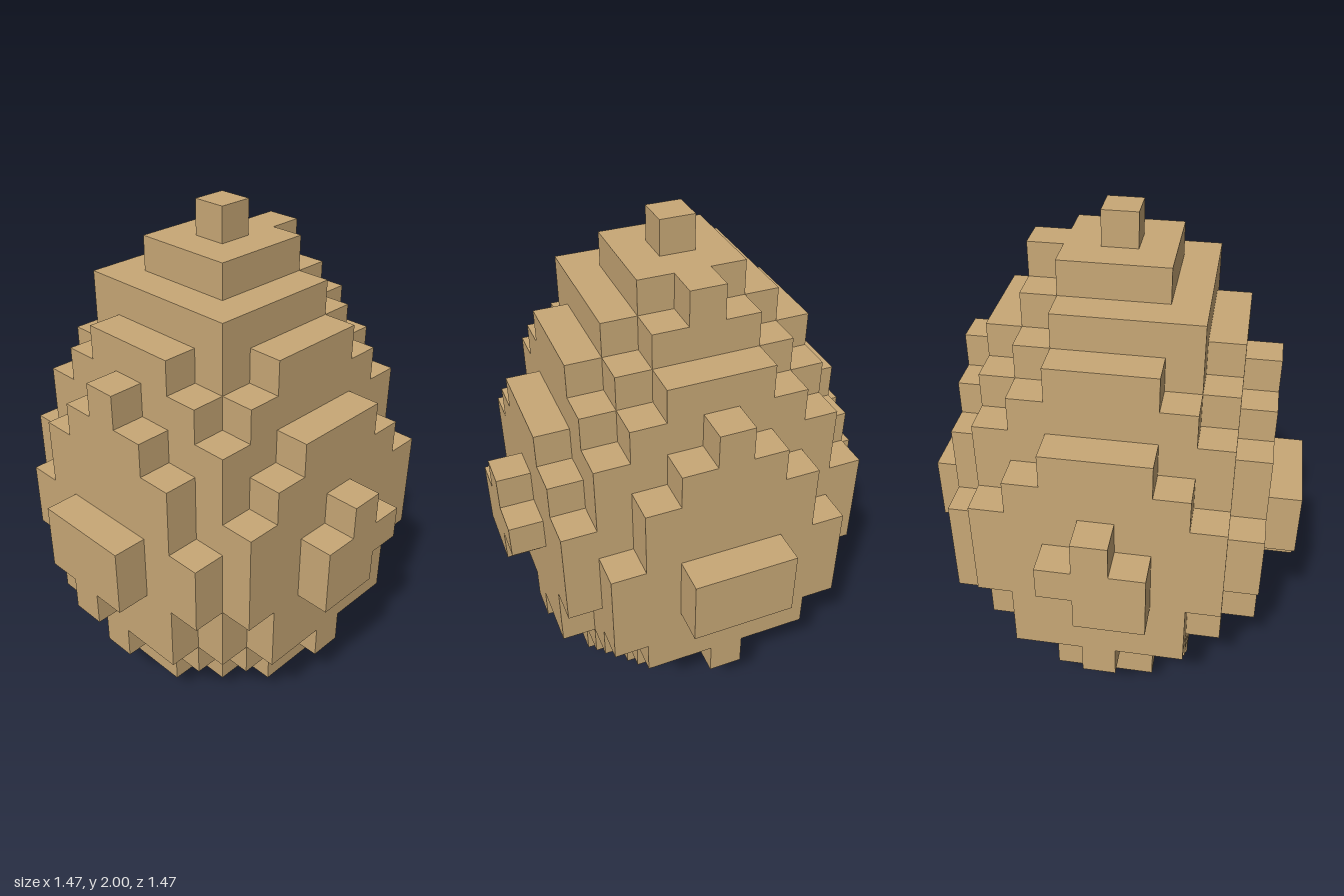
import * as THREE from 'three';
import { mergeGeometries } from 'three/addons/utils/BufferGeometryUtils.js';

const CELL = 2 / 15; // edge of one cube

// Layers from the base up: squared radius in cubes, cubes left out, cubes added
const LAYERS = [
  { name: 'bottomNub', r2: 0 },
  { name: 'base', r2: 10, drop: x => x === 3 },
  { name: 'lowerShell', r2: 16 },
  { name: 'lowerShell', r2: 20 },
  { name: 'lowerShell', r2: 20, add: (x, z) => (x === 4 && Math.abs(z) === 3) || (x === -5 && z === 0) },
  { name: 'belly', r2: 26, drop: (x, z) => x === 1 && Math.abs(z) === 5 },
  { name: 'belly', r2: 26 },
  { name: 'belly', r2: 25, drop: x => Math.abs(x) === 5, dropZ: 3 },
  { name: 'upperShell', r2: 20 },
  { name: 'upperShell', r2: 18 },
  { name: 'upperShell', r2: 16, drop: (x, z) => Math.abs(z) === 4 },
  { name: 'upperShell', r2: 10 },
  { name: 'crown', r2: 8, drop: (x, z) => x === 2 && Math.abs(z) === 2 },
  { name: 'crown', r2: 2, add: (x, z) => x === 2 && z === 0 },
  { name: 'topNub', r2: 0 },
];

function filled(x, y, z) {
  const layer = LAYERS[y];
  if (!layer) return false;
  if (layer.add && layer.add(x, z)) return true;
  if (layer.drop && layer.drop(x, z)) return false;
  if (layer.dropZ && Math.abs(x) === 4 && Math.abs(z) === layer.dropZ) return false;
  return x * x + z * z <= layer.r2;
}

// The six sides of a cube: outward direction and the turn that faces a plane that way
const SIDES = [
  { dir: [1, 0, 0], turn: [0, Math.PI / 2] },
  { dir: [-1, 0, 0], turn: [0, -Math.PI / 2] },
  { dir: [0, 1, 0], turn: [-Math.PI / 2, 0] },
  { dir: [0, -1, 0], turn: [Math.PI / 2, 0] },
  { dir: [0, 0, 1], turn: [0, 0] },
  { dir: [0, 0, -1], turn: [0, Math.PI] },
].map(({ dir, turn }) => ({
  dir,
  plane: new THREE.PlaneGeometry(CELL, CELL).rotateX(turn[0]).rotateY(turn[1])
    .translate(...dir.map(d => d * CELL / 2)),
}));

// Open faces of every cube in one layer
function layerFaces(y) {
  const faces = [];
  for (let x = -5; x <= 5; x++) {
    for (let z = -5; z <= 5; z++) {
      if (!filled(x, y, z)) continue;
      for (const { dir, plane } of SIDES) {
        if (filled(x + dir[0], y + dir[1], z + dir[2])) continue;
        faces.push(plane.clone().translate(x * CELL, (y + 0.5) * CELL, z * CELL));
      }
    }
  }
  return faces;
}

export function createModel() {
  const group = new THREE.Group();
  group.name = 'blockEgg';
  const material = new THREE.MeshStandardMaterial({ color: 0xc8a876 });

  // Gather neighbouring layers into named sections
  const sections = new Map();
  LAYERS.forEach(({ name }, y) => {
    sections.set(name, [...(sections.get(name) || []), ...layerFaces(y)]);
  });
  for (const [name, faces] of sections) {
    const mesh = new THREE.Mesh(mergeGeometries(faces), material);
    mesh.name = name;
    group.add(mesh);
  }
  return group;
}
